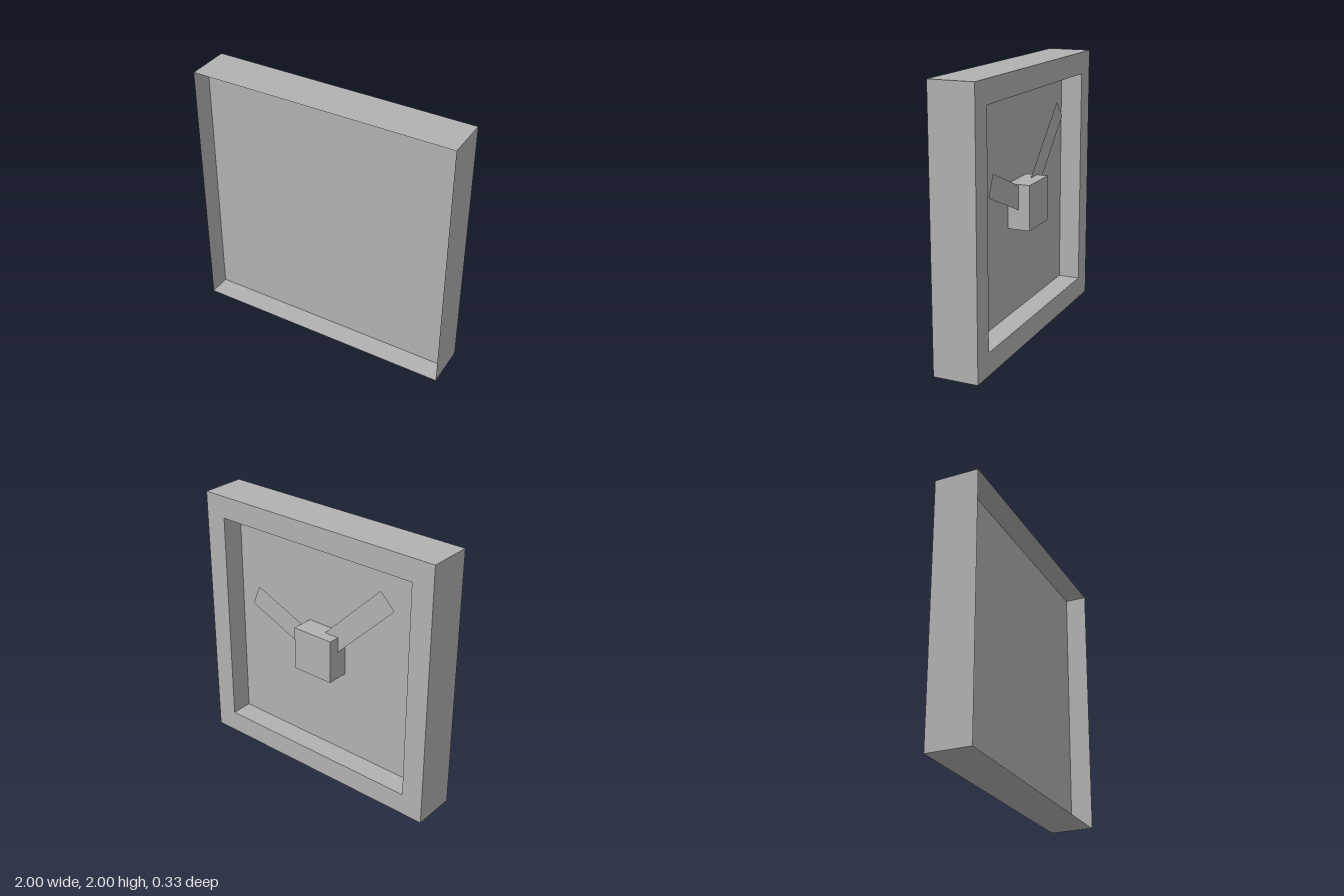
import * as THREE from 'three';
import { mergeGeometries } from 'three/addons/utils/BufferGeometryUtils.js';

const U = 1 / 6; // frame width, hand width and half the depth

// Four open walls around a square of half-size h, from z0 to z1
function wallLoop(h, z0, z1) {
  const walls = [];
  for (let i = 0; i < 4; i++) {
    const wall = new THREE.PlaneGeometry(2 * h, z1 - z0);
    wall.rotateX(-Math.PI / 2).translate(0, h, (z0 + z1) / 2);
    walls.push(wall.rotateZ(i * Math.PI / 2));
  }
  return mergeGeometries(walls);
}

// Square outline of half-size h
function square(Type, h) {
  return new Type([[-h, -h], [h, -h], [h, h], [-h, h]].map(([x, y]) => new THREE.Vector2(x, y)));
}

export function createModel() {
  const group = new THREE.Group();
  const grey = new THREE.MeshStandardMaterial({ color: 0xb2b2b2, side: THREE.DoubleSide });
  grey.name = 'grey';

  function add(name, geometry, z = 0) {
    const mesh = new THREE.Mesh(geometry, grey);
    mesh.name = name;
    mesh.position.set(0, 1, z);
    group.add(mesh);
    return mesh;
  }

  // Casing: thin outer walls, a bordering rim and the recess inside it
  add('outerWalls', wallLoop(1, -U, U));
  const rim = square(THREE.Shape, 1);
  rim.holes.push(square(THREE.Path, 1 - U));
  add('rim', new THREE.ShapeGeometry(rim).rotateY(Math.PI), -U);
  add('recessWalls', wallLoop(1 - U, -U, 0));

  // Dial plate halfway through the casing
  add('dial', new THREE.PlaneGeometry(2, 2).rotateY(Math.PI));

  // Hub and the two flat hands, which face -z
  add('hub', new THREE.BoxGeometry(2 * U, 2 * U, U), -U / 2);
  for (const [name, length, angle] of [
    ['hourHand', 4 * U, Math.PI / 8],
    ['minuteHand', 5 * U, 3 * Math.PI / 4],
  ]) {
    const hand = new THREE.PlaneGeometry(length, U).rotateY(Math.PI).translate(length / 2, 0, 0);
    add(name, hand, -U / 2).rotation.z = angle;
  }
  return group;
}
